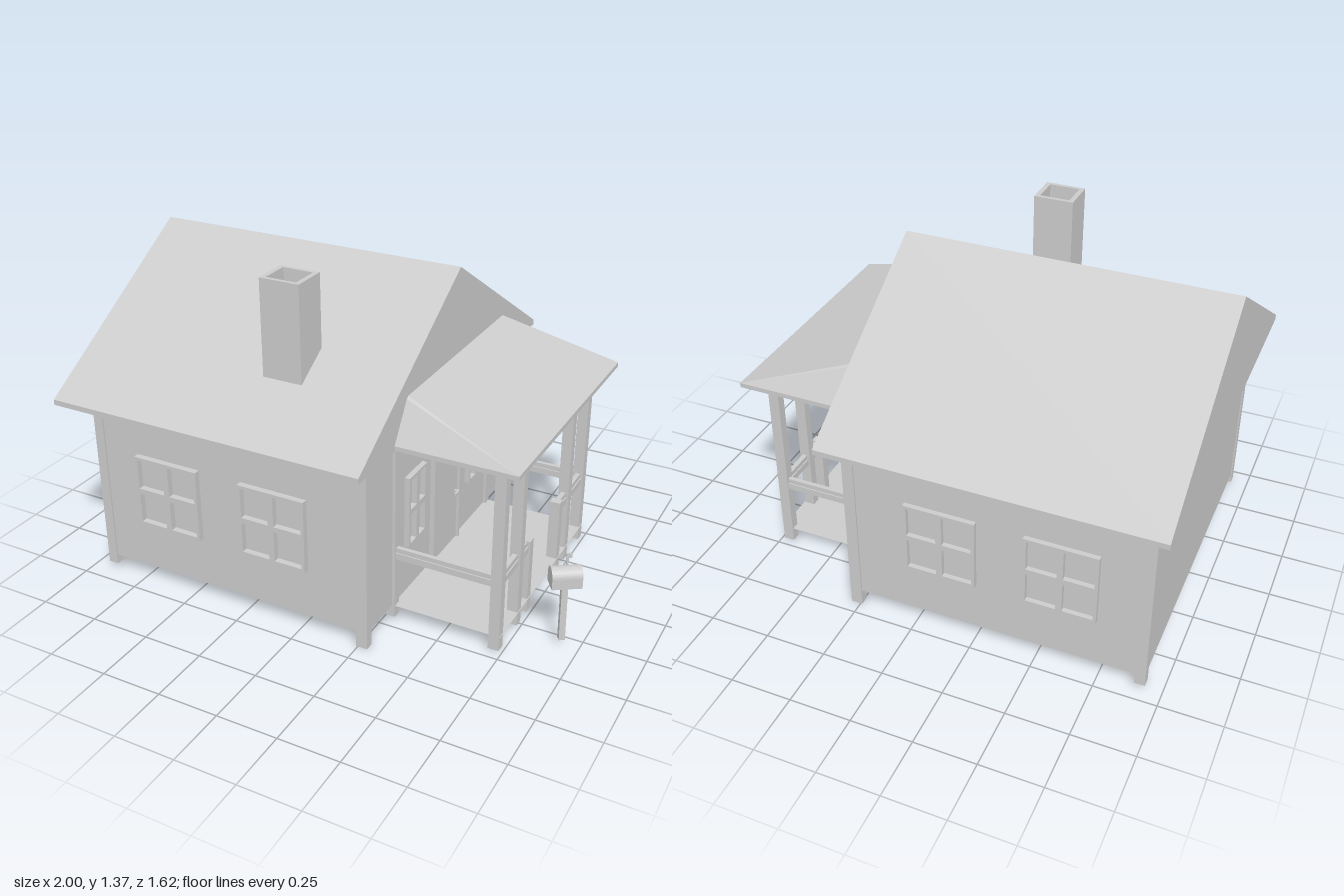
import * as THREE from 'three';
import { ConvexGeometry } from 'three/addons/geometries/ConvexGeometry.js';

const grey = new THREE.MeshStandardMaterial({ color: 0xcccccc, flatShading: true, side: THREE.DoubleSide });

function add(parent, name, geometry) {
  const mesh = new THREE.Mesh(geometry, grey);
  mesh.name = name;
  parent.add(mesh);
  return mesh;
}

// Box given by its extents along each axis
function block(parent, name, x0, x1, y0, y1, z0, z1) {
  const mesh = add(parent, name, new THREE.BoxGeometry(x1 - x0, y1 - y0, z1 - z0));
  mesh.position.set((x0 + x1) / 2, (y0 + y1) / 2, (z0 + z1) / 2);
  return mesh;
}

function hull(parent, name, points) {
  return add(parent, name, new ConvexGeometry(points.map((p) => new THREE.Vector3(...p))));
}

function rect(target, x0, x1, y0, y1) {
  return target.moveTo(x0, y0).lineTo(x1, y0).lineTo(x1, y1).lineTo(x0, y1).closePath();
}

// Four-pane window frame facing +z, centred on its own origin
function windowFrame(w, h, depth) {
  const shape = rect(new THREE.Shape(), -w / 2, w / 2, -h / 2, h / 2);
  const rim = 0.013, bar = 0.012;
  for (const [x0, x1] of [[-w / 2 + rim, -bar], [bar, w / 2 - rim]])
    for (const [y0, y1] of [[-h / 2 + rim, -bar], [bar, h / 2 - rim]])
      shape.holes.push(rect(new THREE.Path(), x0, x1, y0, y1));
  return new THREE.ExtrudeGeometry(shape, { depth, bevelEnabled: false });
}

function buildHouse() {
  const house = new THREE.Group();
  house.name = 'house';
  block(house, 'walls', -0.93, 0.285, 0.07, 0.81, -0.69, 0.665);

  // Corner posts
  for (const [x0, x1] of [[-0.935, -0.893], [0.243, 0.29]])
    for (const [z0, z1] of [[0.635, 0.672], [-0.697, -0.66]])
      block(house, 'cornerPost', x0, x1, x0 < 0 ? 0.03 : 0.005, 0.81, z0, z1);

  // Gable roof
  const roof = [];
  for (const x of [-1, 0.335])
    roof.push([x, 0.803, -0.815], [x, 0.803, 0.81], [x, 0.825, -0.815], [x, 0.825, 0.81], [x, 1.33, 0]);
  hull(house, 'roof', roof);

  // Hollow chimney
  const outline = rect(new THREE.Shape(), -0.205, -0.04, -0.55, -0.402);
  outline.holes.push(rect(new THREE.Path(), -0.185, -0.06, -0.534, -0.418));
  const chimney = add(house, 'chimney', new THREE.ExtrudeGeometry(outline, { depth: 0.455, bevelEnabled: false }));
  chimney.rotation.x = -Math.PI / 2;
  chimney.position.y = 0.92;
  block(house, 'chimneyFloor', -0.19, -0.055, 0.95, 1.28, 0.412, 0.54);

  // Front and back windows
  const wide = windowFrame(0.29, 0.305, 0.025);
  for (const x of [-0.59, -0.11]) {
    add(house, 'frontWindow', wide).position.set(x, 0.433, 0.665);
    const back = add(house, 'backWindow', wide);
    back.position.set(x, 0.433, -0.685);
    back.rotation.y = Math.PI;
  }
  // Windows beside the door
  const narrow = windowFrame(0.152, 0.305, 0.022);
  for (const z of [0.28, -0.292]) {
    const side = add(house, 'porchWindow', narrow);
    side.position.set(0.285, 0.438, z);
    side.rotation.y = Math.PI / 2;
  }

  // Door with frame and handle
  const frame = rect(new THREE.Shape(), -0.125, 0.13, 0.07, 0.565);
  frame.holes.push(rect(new THREE.Path(), -0.114, 0.119, 0.071, 0.554));
  const doorFrame = add(house, 'doorFrame', new THREE.ExtrudeGeometry(frame, { depth: 0.025, bevelEnabled: false }));
  doorFrame.rotation.y = Math.PI / 2;
  doorFrame.position.x = 0.28;
  block(house, 'door', 0.28, 0.293, 0.072, 0.554, -0.119, 0.114);
  block(house, 'doorHandleStem', 0.29, 0.312, 0.301, 0.313, -0.1, -0.088);
  block(house, 'doorHandle', 0.308, 0.316, 0.301, 0.313, -0.1, -0.062);
  return house;
}

function buildPorch() {
  const porch = new THREE.Group();
  porch.name = 'porch';
  const floor = add(porch, 'porchFloor', new THREE.PlaneGeometry(0.455, 0.92));
  floor.rotation.x = -Math.PI / 2;
  floor.position.set(0.5125, 0.071, -0.005);

  // Hipped lean-to roof
  const roof = [[0.3, 0.982, 0.438], [0.3, 0.982, -0.443], [0.335, 0.98, 0.435], [0.335, 0.98, -0.44]];
  for (const z of [-0.54, 0.54])
    for (const y of [0.806, 0.825]) roof.push([0.3, y, z], [0.813, y, z]);
  hull(porch, 'porchRoof', roof);

  // Beams carrying the roof
  block(porch, 'frontBeam', 0.68, 0.77, 0.772, 0.807, -0.48, 0.473);
  block(porch, 'leftBeam', 0.285, 0.68, 0.772, 0.807, 0.4, 0.473);
  block(porch, 'rightBeam', 0.285, 0.68, 0.772, 0.807, -0.48, -0.407);

  // Posts and railings, mirrored about the middle of the porch
  const mid = -0.006;
  for (const s of [1, -1]) {
    const span = (name, x0, x1, y0, y1, a, b) =>
      block(porch, name, x0, x1, y0, y1, mid + Math.min(s * a, s * b), mid + Math.max(s * a, s * b));
    span('porchCornerPost', 0.693, 0.737, 0.01, 0.78, 0.425, 0.463);
    span('porchInnerPost', 0.693, 0.737, 0.01, 0.78, 0.244, 0.281);
    span('porchWallPost', 0.253, 0.297, 0.02, 0.78, 0.425, 0.463);
    span('gatePost', 0.693, 0.737, 0.01, 0.335, 0.145, 0.18);
    span('frontRail', 0.7, 0.73, 0.285, 0.312, 0.18, 0.425);
    span('frontRailCap', 0.705, 0.725, 0.31, 0.332, 0.18, 0.425);
    span('sideRail', 0.29, 0.695, 0.285, 0.312, 0.43, 0.458);
    span('sideRailCap', 0.29, 0.695, 0.31, 0.332, 0.435, 0.453);
  }
  return porch;
}

function buildMailbox() {
  const mailbox = new THREE.Group();
  mailbox.name = 'mailbox';
  // Box with an arched top
  const arch = new THREE.Shape();
  arch.moveTo(-0.036, 0).lineTo(0.036, 0).lineTo(0.036, 0.042);
  arch.absarc(0, 0.042, 0.036, 0, Math.PI, false);
  arch.closePath();
  const box = add(mailbox, 'mailboxBody',
    new THREE.ExtrudeGeometry(arch, { depth: 0.116, bevelEnabled: false, curveSegments: 8 }));
  box.rotation.y = Math.PI / 2;
  box.position.set(-0.058, 0.281, 0);
  // Raised flag
  block(mailbox, 'flagArm', 0.01, 0.018, 0.31, 0.39, -0.042, -0.036);
  block(mailbox, 'flag', 0.01, 0.03, 0.37, 0.39, -0.042, -0.036);
  // Slightly leaning post
  const post = block(mailbox, 'mailboxPost', -0.012, 0.012, 0.037, 0.285, -0.012, 0.012);
  post.rotation.x = -0.04;
  mailbox.position.set(0.927, 0, 0.303);
  mailbox.rotation.y = 0.58;
  return mailbox;
}

export function createModel() {
  const model = new THREE.Group();
  model.name = 'cottage';
  model.add(buildHouse(), buildPorch(), buildMailbox());
  return model;
}
